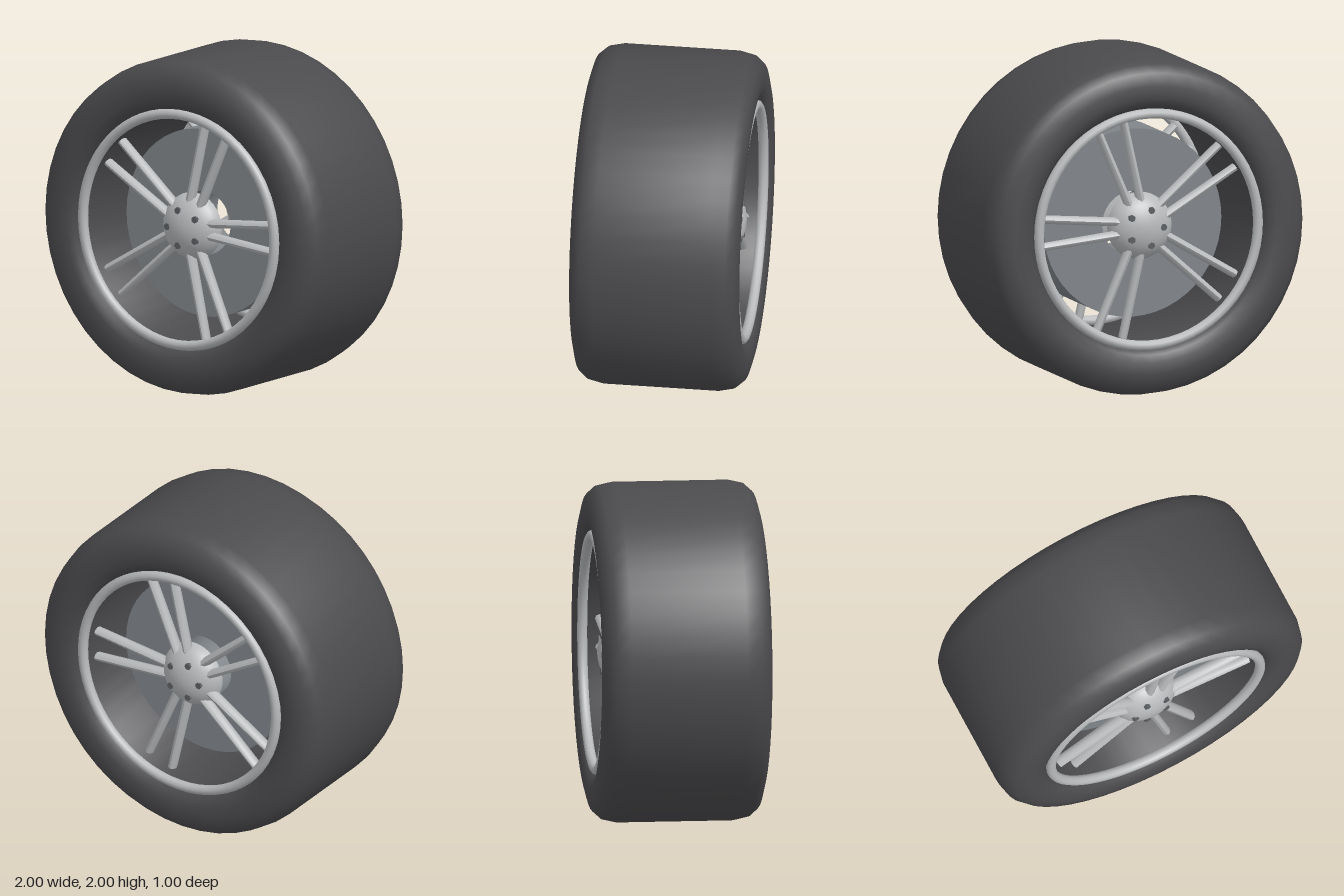
import * as THREE from 'three';
import { toCreasedNormals } from 'three/addons/utils/BufferGeometryUtils.js';

const paint = (name, color) => {
  const m = new THREE.MeshStandardMaterial({ color });
  m.name = name;
  return m;
};

// Revolve [radius, z] points around the z axis, keeping sharp edges
function revolve(points, segments, crease) {
  const geo = new THREE.LatheGeometry(points.map(([r, z]) => new THREE.Vector2(r, z)), segments);
  geo.rotateX(Math.PI / 2);
  return toCreasedNormals(geo, crease);
}

function add(parent, name, geometry, material) {
  const mesh = new THREE.Mesh(geometry, material);
  mesh.name = name;
  parent.add(mesh);
  return mesh;
}

export function createModel() {
  const rubber = paint('dark rubber', 0x4b4b4e);
  const alloy = paint('light alloy', 0xb8babc);
  const steel = paint('brake steel', 0x80858a);
  const boltMetal = paint('bolt metal', 0x5c5f62);

  const model = new THREE.Group();
  model.name = 'wheel';
  const wheel = new THREE.Group();
  wheel.name = 'wheelAssembly';
  wheel.position.y = 1;
  model.add(wheel);

  // Tyre: half profile from tread to bead, mirrored, closed by the inner barrel
  const half = [[1, 0.34], [0.98, 0.43], [0.935, 0.48], [0.86, 0.5], [0.79, 0.497], [0.745, 0.48], [0.715, 0.44]];
  const mirrored = half.map(([r, z]) => [r, -z]).reverse();
  add(wheel, 'tyre', revolve([...mirrored, ...half, mirrored[0]], 48, 0.9), rubber);

  // Brake disc with an open centre
  add(wheel, 'brakeDisc',
    revolve([[0.19, -0.2], [0.56, -0.2], [0.56, 0.2], [0.19, 0.2], [0.19, -0.2]], 48, 0.5), steel);

  // Hub dome profile with a flat back
  const rise = 0.14, base = 0.3, hubRadius = 0.2;
  const domeProfile = [[0, base - 0.02], [0.17, base - 0.02]];
  for (let i = 0; i <= 8; i++) {
    const a = (i / 8) * Math.PI / 2;
    domeProfile.push([i === 8 ? 0 : hubRadius * Math.cos(a), base + rise * Math.sin(a)]);
  }
  const hubGeo = revolve(domeProfile, 32, 0.7);
  const rimGeo = new THREE.TorusGeometry(0.69, 0.03, 10, 64);
  const boltGeo = toCreasedNormals(new THREE.CylinderGeometry(0.021, 0.021, 0.05, 6).rotateX(Math.PI / 2), 0.5);

  // Spoke: a bar along x, slightly deeper than wide
  const start = new THREE.Vector2(0.13, 0.036), end = new THREE.Vector2(0.66, 0.086);
  const spokeGeo = toCreasedNormals(
    new THREE.CylinderGeometry(0.025, 0.027, start.distanceTo(end), 8).rotateZ(-Math.PI / 2).scale(1, 1, 1.35), 0.9);

  // The same face on the front and the back
  for (const side of ['front', 'back']) {
    const face = new THREE.Group();
    face.name = side + 'Face';
    if (side === 'back') face.rotation.x = Math.PI;
    wheel.add(face);

    add(face, 'rimRing', rimGeo, alloy).position.z = 0.455;
    add(face, 'hub', hubGeo, alloy);

    for (let i = 0; i < 5; i++) {
      const sector = new THREE.Group();
      sector.name = 'spokePair';
      sector.rotation.z = i * Math.PI * 2 / 5;
      face.add(sector);
      for (const s of [1, -1]) {
        const spoke = add(sector, 'spoke', spokeGeo, alloy);
        spoke.position.set((start.x + end.x) / 2, s * (start.y + end.y) / 2, 0.35);
        spoke.rotation.z = s * Math.atan2(end.y - start.y, end.x - start.x);
      }
      // Bolt between this pair and the next
      const a = Math.PI / 5;
      add(sector, 'bolt', boltGeo, boltMetal).position.set(0.11 * Math.cos(a), 0.11 * Math.sin(a), 0.4);
    }
  }
  return model;
}
